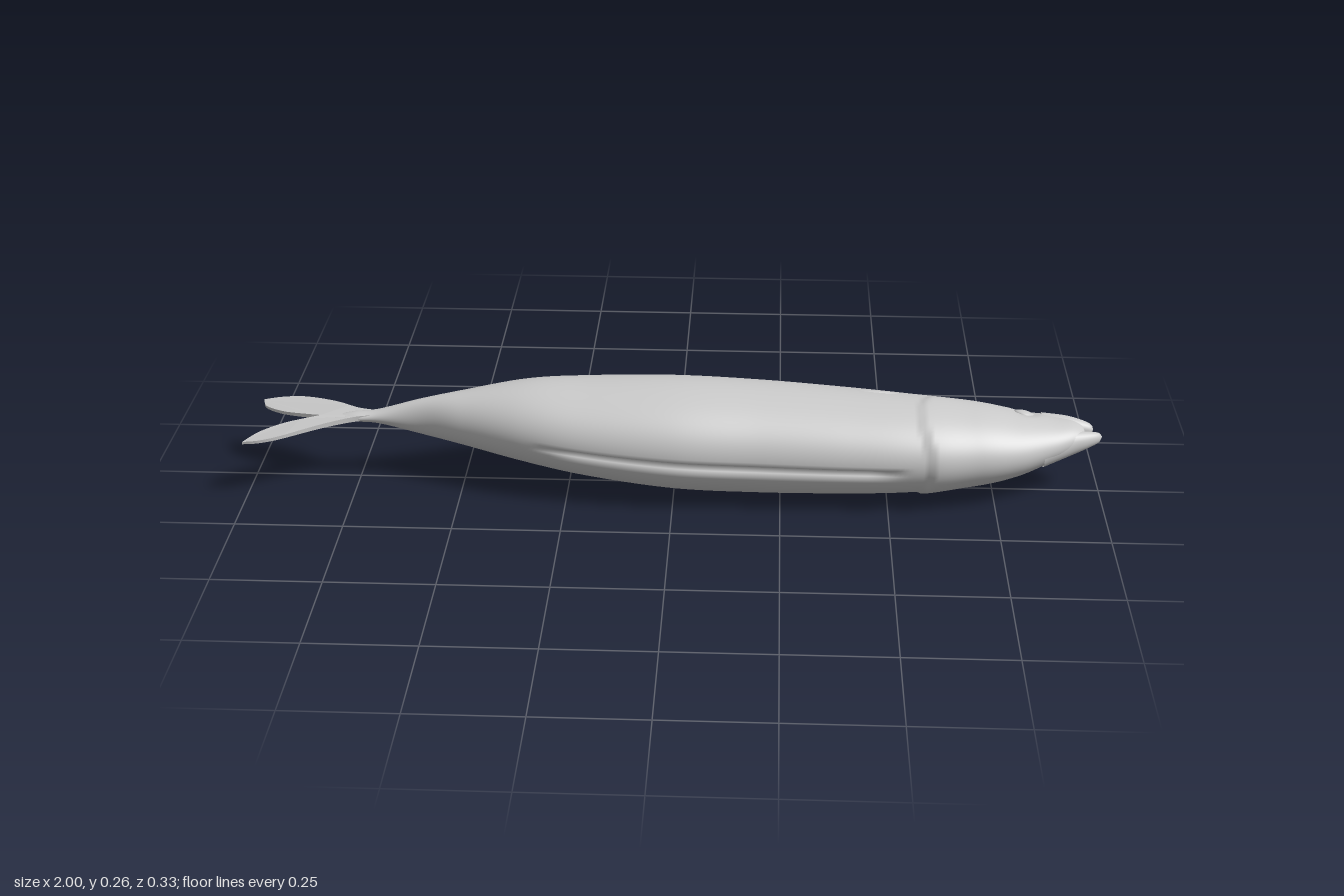
import * as THREE from 'three';

const material = new THREE.MeshStandardMaterial({ color: 0xcccccc, side: THREE.DoubleSide });
const smooth = THREE.MathUtils.smoothstep;

// Lofts sections [x, yBottom, yTop, zBack, zBelly] into a closed smooth skin.
function loft(sections, rings, sides, displace) {
  const spline = (a, b) => new THREE.CatmullRomCurve3(
    sections.map(s => new THREE.Vector3(s[0], s[a], s[b])), false, 'catmullrom', 0.5);
  const heights = spline(1, 2), widths = spline(3, 4);
  const positions = [], index = [];
  for (let i = 0; i <= rings; i++) {
    const h = heights.getPoint(i / rings), w = widths.getPoint(i / rings);
    const cy = (h.y + h.z) / 2, cz = (w.y + w.z) / 2;
    for (let j = 0; j < sides; j++) {
      const a = j / sides * Math.PI * 2;
      const y = Math.cos(a) * (h.z - h.y) / 2;
      const z = Math.sin(a) * (w.z - w.y) / 2;
      const k = displace ? displace(h.x, cz + z, a) : 1;
      positions.push(h.x, cy + y * k, cz + z * k);
      if (i < rings) {
        const p = i * sides + j, q = i * sides + (j + 1) % sides;
        index.push(p, q, p + sides, q, q + sides, p + sides);
      }
    }
  }
  const geometry = new THREE.BufferGeometry();
  geometry.setAttribute('position', new THREE.Float32BufferAttribute(positions, 3));
  geometry.setIndex(index);
  geometry.computeVertexNormals();
  return geometry;
}

// Raised gill covers, sunken eye sockets and the cut along the belly.
function relief(x, z, a) {
  const d = x - (0.565 + 3 * (z - 0.05) ** 2);
  let k = 1;
  if (d > 0) k += 0.05 * smooth(d, 0, 0.012) * (1 - smooth(d, 0.01, 0.13)) * smooth(z, -0.07, -0.02);
  const eye = Math.hypot(x - 0.82, z + 0.045);
  k -= 0.06 * (1 - smooth(eye, 0.015, 0.045));
  const cut = smooth(x, -0.35, -0.2) * (1 - smooth(x, 0.45, 0.56));
  k -= 0.11 * cut * (1 - smooth(Math.abs(a - Math.PI * 0.53), 0.02, 0.09));
  return k;
}

export function createModel() {
  const fish = new THREE.Group();
  fish.name = 'fish';
  function add(name, geometry, parent = fish) {
    const mesh = new THREE.Mesh(geometry, material);
    mesh.name = name;
    parent.add(mesh);
    return mesh;
  }

  // Body lying on its side, back towards -z and belly towards +z
  add('body', loft([
    [-0.82, 0.154, 0.158, -0.005, 0.006],
    [-0.76, 0.149, 0.170, -0.017, 0.018],
    [-0.70, 0.144, 0.177, -0.021, 0.017],
    [-0.60, 0.117, 0.205, -0.033, 0.024],
    [-0.50, 0.096, 0.226, -0.065, 0.058],
    [-0.35, 0.064, 0.251, -0.118, 0.111],
    [-0.20, 0.036, 0.257, -0.150, 0.142],
    [0.00, 0.011, 0.260, -0.166, 0.160],
    [0.20, 0.002, 0.251, -0.167, 0.154],
    [0.40, 0.006, 0.238, -0.158, 0.153],
    [0.55, 0.014, 0.227, -0.144, 0.148],
    [0.70, 0.029, 0.213, -0.127, 0.128],
    [0.80, 0.051, 0.193, -0.111, 0.099],
    [0.88, 0.081, 0.178, -0.092, 0.060],
    [0.93, 0.103, 0.169, -0.072, 0.030],
    [0.955, 0.118, 0.156, -0.055, 0.010],
    [0.96, 0.136, 0.138, -0.022, -0.020],
  ], 220, 80, relief));

  // Slightly open mouth
  add('upperJaw', loft([
    [0.86, 0.100, 0.178, -0.085, -0.010],
    [0.92, 0.104, 0.172, -0.076, -0.018],
    [0.96, 0.120, 0.162, -0.062, -0.026],
    [0.977, 0.130, 0.153, -0.054, -0.032],
    [0.982, 0.141, 0.143, -0.044, -0.042],
  ], 24, 28));
  add('lowerJaw', loft([
    [0.86, 0.080, 0.165, -0.020, 0.070],
    [0.92, 0.098, 0.160, -0.020, 0.037],
    [0.96, 0.112, 0.155, -0.020, 0.018],
    [0.99, 0.123, 0.148, -0.023, 0.000],
    [1.00, 0.135, 0.137, -0.018, -0.015],
  ], 24, 28));

  // Forked tail fin, thinning and drooping to the tips
  const outline = new THREE.Shape();
  outline.moveTo(-0.70, -0.015);
  outline.splineThru([[-0.75, -0.03], [-0.81, -0.068], [-0.89, -0.104],
    [-0.95, -0.114], [-0.995, -0.111]].map(p => new THREE.Vector2(...p)));
  outline.splineThru([[-0.98, -0.07], [-0.93, -0.03], [-0.87, -0.006], [-0.835, 0.004]]
    .map(p => new THREE.Vector2(...p)));
  outline.splineThru([[-0.87, 0.016], [-0.92, 0.035], [-0.97, 0.07], [-1.00, 0.115]]
    .map(p => new THREE.Vector2(...p)));
  outline.splineThru([[-0.96, 0.117], [-0.91, 0.102], [-0.82, 0.052], [-0.75, 0.02], [-0.70, 0.012]]
    .map(p => new THREE.Vector2(...p)));
  const tail = new THREE.ExtrudeGeometry(outline, { depth: 1, bevelEnabled: false, curveSegments: 20 });
  tail.rotateX(Math.PI / 2);
  const p = tail.attributes.position;
  for (let i = 0; i < p.count; i++) {
    const t = THREE.MathUtils.clamp((-0.70 - p.getX(i)) / 0.3, 0, 1);
    p.setY(i, 0.162 - 0.021 * t * t + (p.getY(i) + 0.5) * (0.014 - 0.008 * t));
  }
  tail.computeVertexNormals();
  add('tailFin', tail);

  // Eyes and folded side fins, one of each on the upper and lower flank
  const ball = new THREE.SphereGeometry(1, 28, 18);
  for (const [side, eyeY, finY] of [['upper', 0.177, 0.221], ['lower', 0.062, 0.017]]) {
    const out = side === 'upper' ? 1 : -1;
    const eye = add(side + 'Eye', ball);
    eye.position.set(0.82, eyeY, -0.045);
    eye.scale.set(0.026, 0.009, 0.023);
    eye.rotation.set(-0.3 * out, 0, -0.25 * out);

    const fin = add(side + 'SideFin', ball);
    fin.position.set(0.47, finY + 0.004 * out, -0.045);
    fin.scale.set(0.055, 0.006, 0.010);
    fin.rotation.set(-0.2 * out, 0.05, -0.06 * out);
  }
  return fish;
}
